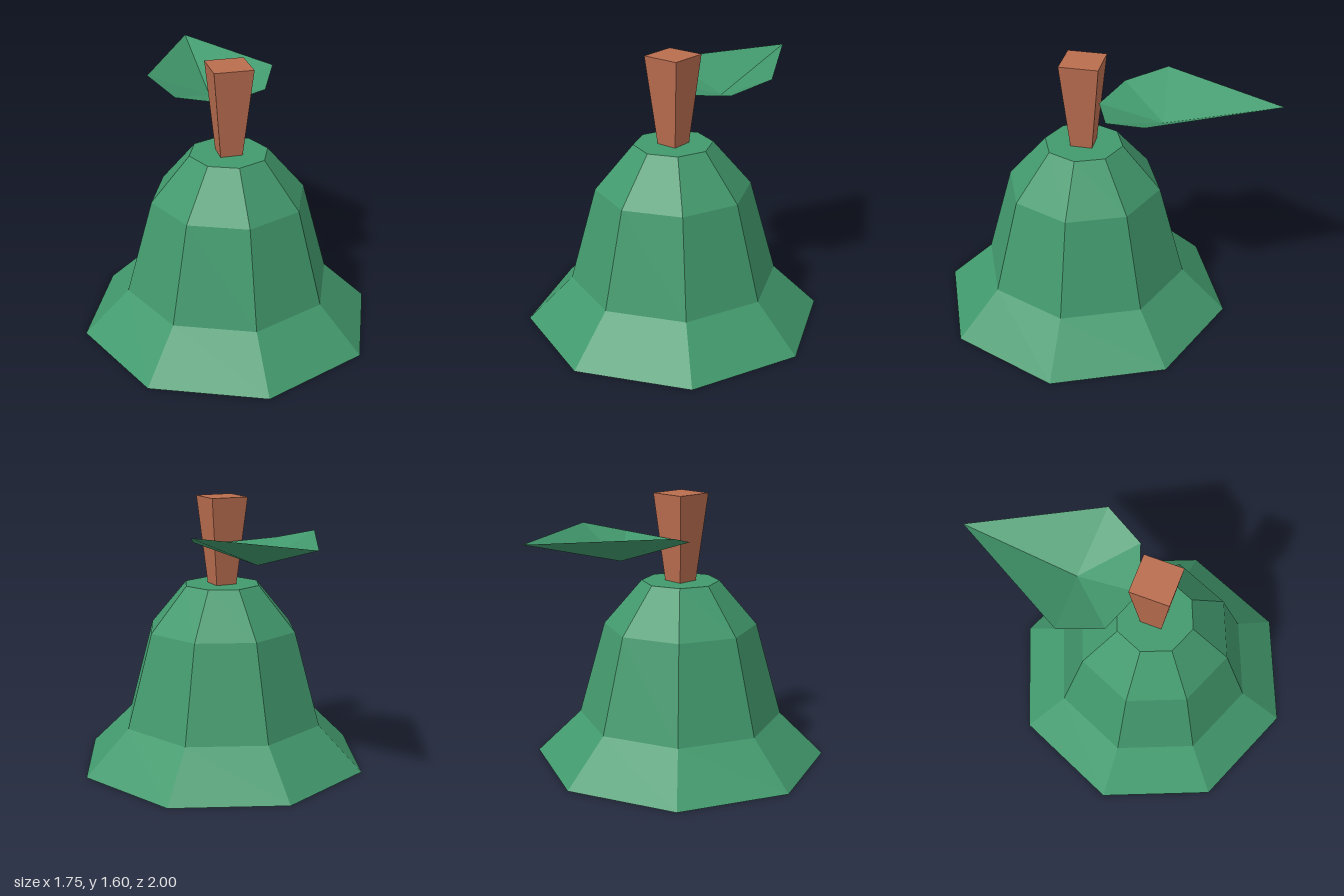
import * as THREE from 'three';

const flat = (color, name, side = THREE.FrontSide) =>
  new THREE.MeshStandardMaterial({ color, name, side, flatShading: true });

export function createModel() {
  const model = new THREE.Group();
  const green = flat(0x42996d, 'leaf green', THREE.DoubleSide);
  const brown = flat(0xba6d4f, 'stem brown');
  const beige = flat(0xc9c8a3, 'underside beige');
  const centreZ = 0.122;

  const add = (name, geometry, material, y = 0, z = centreZ) => {
    const mesh = new THREE.Mesh(geometry, material);
    mesh.name = name;
    mesh.position.set(0, y, z);
    model.add(mesh);
  };

  // Flared eight-sided bell body, closed at the top
  const profile = [[0.877, 0], [0.612, 0.26], [0.456, 0.82], [0.231, 1.085], [0, 1.085]]
    .map(([r, y]) => new THREE.Vector2(r, y));
  add('body', new THREE.LatheGeometry(profile, 8), green);

  // Flat underside
  add('underside', new THREE.CircleGeometry(0.877, 8).rotateX(Math.PI / 2), beige);

  // Square stem, widening upward
  const stem = new THREE.CylinderGeometry(0.113 * Math.SQRT2, 0.064 * Math.SQRT2, 0.517, 4);
  add('stem', stem.rotateY(Math.PI / 4), brown, 1.085 + 0.517 / 2);

  // Cupped leaf: a fan of facets around its lowest point, mirrored left and right
  const low = [0, 1.262, -0.34];
  const half = [[0, 1.345, 0.03], [0.267, 1.37, -0.065], [0.382, 1.432, -0.3], [0, 1.437, -1]];
  const corners = [];
  for (let i = 0; i < half.length - 1; i++) {
    const a = half[i], b = half[i + 1];
    const flip = ([x, y, z]) => [-x, y, z];
    corners.push(...low, ...a, ...b, ...low, ...flip(b), ...flip(a));
  }
  const leaf = new THREE.BufferGeometry();
  leaf.setAttribute('position', new THREE.Float32BufferAttribute(corners, 3));
  leaf.computeVertexNormals();
  add('leaf', leaf, green, 0, 0);

  return model;
}
